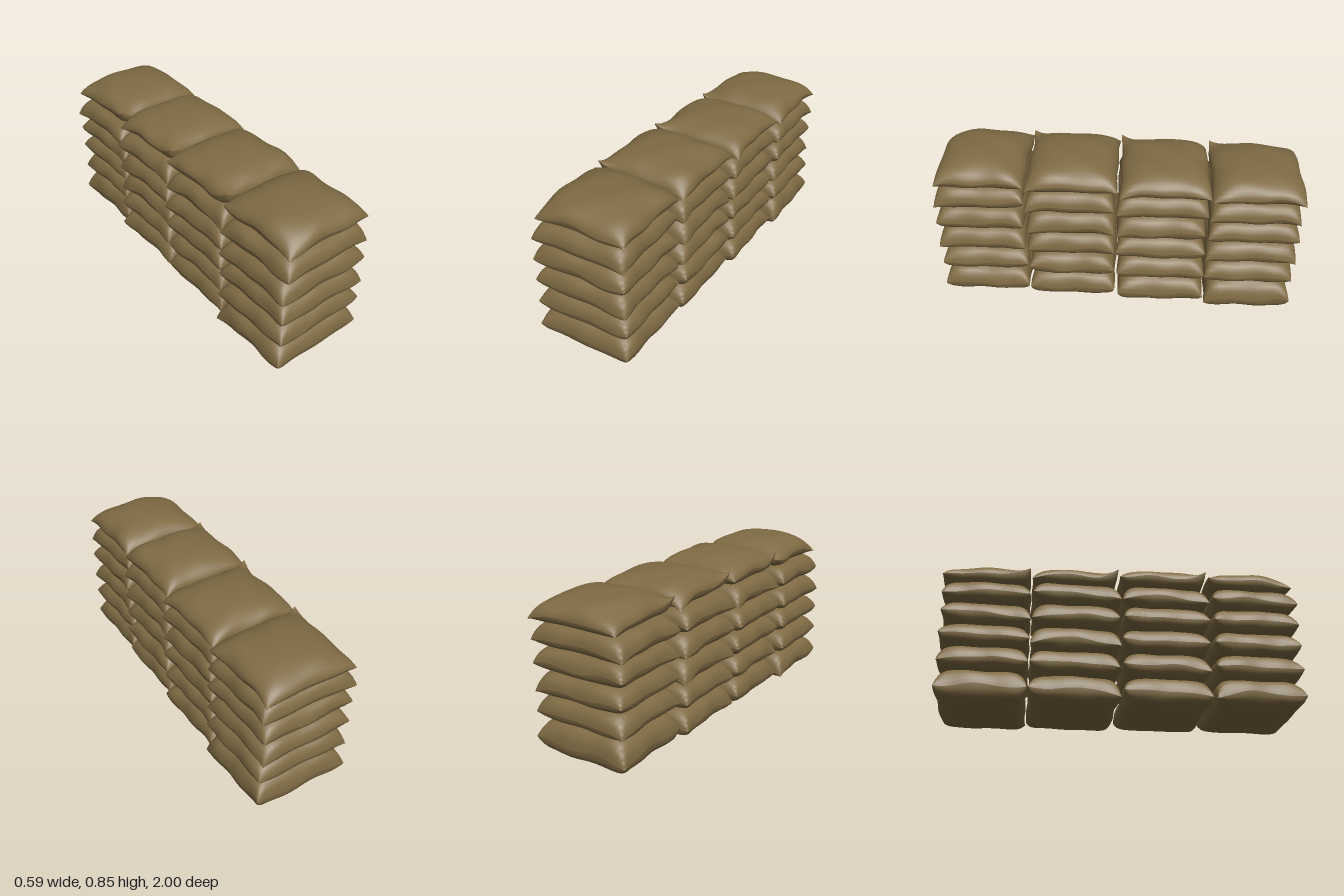
import * as THREE from 'three';

// Small seeded random generator
function seeded(seed) {
  return () => {
    seed = (seed * 16807) % 2147483647;
    return seed / 2147483647;
  };
}

// One half of a stuffed bag: a square sheet swollen away from its seam.
// side is 1 for the upper half and -1 for the lower half.
function bagHalf(side, { hx, hz, bulge, power, phase, corners }) {
  const geo = new THREE.PlaneGeometry(2, 2, 22, 22);
  geo.rotateX(-side * Math.PI / 2);
  const pos = geo.attributes.position;
  for (let i = 0; i < pos.count; i++) {
    // Crowd the rows toward the seam, where the cloth turns fastest
    const u = Math.sin(pos.getX(i) * Math.PI / 2);
    const v = Math.sin(pos.getZ(i) * Math.PI / 2);
    const fill = Math.sqrt(Math.max(0, (1 - Math.abs(u) ** power) * (1 - Math.abs(v) ** power)));
    // Seam runs inward between the corners and ripples up and down
    const bowX = 1 - 0.03 * (1 - v * v) + 0.014 * Math.sin(7 * v + phase);
    const bowZ = 1 - 0.01 * (1 - u * u) + 0.012 * Math.sin(6 * u + phase * 2);
    const corner = corners[(u > 0 ? 1 : 0) + (v > 0 ? 2 : 0)] * Math.abs(u * v) ** 3;
    const seam = 0.012 * Math.sin(5 * u + phase) * Math.cos(4 * v + phase) + corner;
    // Creases fan out near the edges, with shallow dents across the cloth
    const crease = 1 + 0.08 * Math.sin(7 * u + 5 * v + phase * 3) * (1 - fill * 0.8);
    pos.setXYZ(i, u * hx * bowX, seam * (1 - fill) + side * bulge * fill * crease, v * hz * bowZ);
  }
  geo.computeVertexNormals();
  return geo;
}

export function createModel() {
  const model = new THREE.Group();
  model.name = 'sandbagWall';
  const burlap = new THREE.MeshStandardMaterial({ color: 0x7f6b44 });
  burlap.name = 'burlap';

  const rand = seeded(4711);
  const vary = (a) => (rand() * 2 - 1) * a;
  // Heights where the bags rest on each other, up to the crown of the top bag
  const even = [0.003, 0.157, 0.298, 0.438, 0.576, 0.708];
  const columns = [
    { z: 0.738, rests: [...even, 0.855] },
    { z: 0.243, rests: [...even, 0.855] },
    { z: -0.248, rests: [...even, 0.843] },
    { z: -0.735, rests: [0.003, 0.18, 0.315, 0.445, 0.575, 0.702, 0.84] },
  ];

  columns.forEach(({ z, rests }, c) => {
    const column = new THREE.Group();
    column.name = 'bagColumn' + (c + 1);
    for (let layer = 0; layer < 6; layer++) {
      const top = layer === 5;
      const bottom = layer === 0;
      const base = rests[layer];
      const y = base + (rests[layer + 1] - base) * (top ? 0.34 : 0.4);
      // Corners droop; on the top bags one laps up over the next column
      const corners = [0, 1, 2, 3].map(() => -0.012 + vary(0.022));
      if (top) {
        corners[1] = corners[3] = -0.03;
        if (c > 0) corners[2] = 0.05;
      }
      const shape = {
        hx: (top ? 0.259 : 0.272) + vary(0.005),
        hz: 0.24 + vary(0.003),
        phase: rand() * 6,
        corners,
      };
      const upper = bagHalf(1, {
        ...shape,
        bulge: rests[layer + 1] - y + (top ? 0 : 0.006),
        power: top ? 2.7 : 7,
      });
      const lower = bagHalf(-1, { ...shape, bulge: y - base, power: bottom ? 11 : 9 });
      const bag = new THREE.Group();
      bag.name = 'sandbag';
      [[upper, 'upperCloth'], [lower, 'lowerCloth']].forEach(([geo, name]) => {
        const cloth = new THREE.Mesh(geo, burlap);
        cloth.name = name;
        bag.add(cloth);
      });
      bag.position.set((top ? 0.006 : -0.006) + vary(0.005), y, z - (top ? 0.012 : 0) + vary(0.003));
      // Every bag lies slightly askew to the wall
      bag.rotation.y = 0.055 + vary(0.012);
      column.add(bag);
    }
    model.add(column);
  });
  return model;
}
